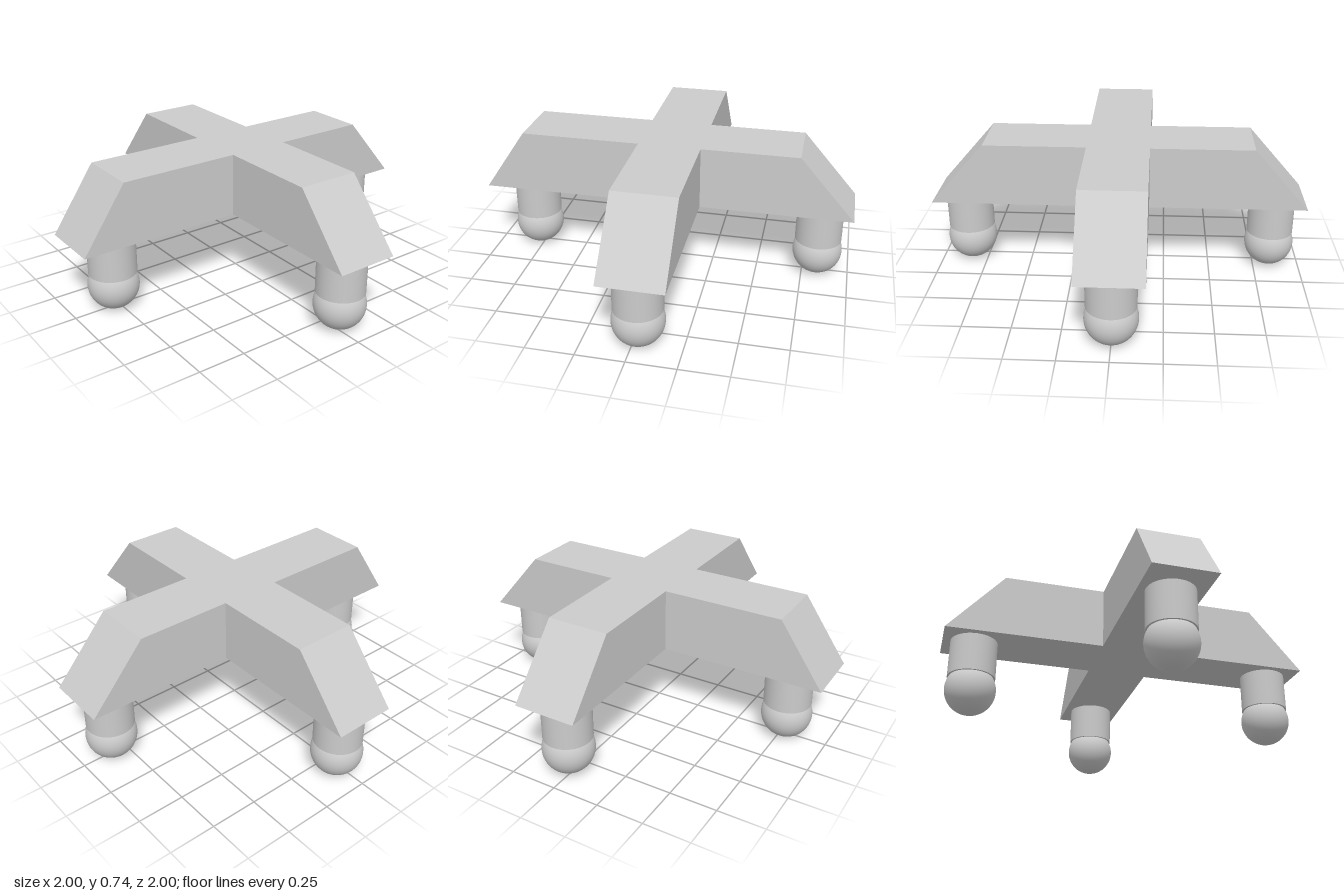
import * as THREE from 'three';

const BOTTOM = 0.405, TOP = 0.74, WIDTH = 0.33, BEAM_Z = -0.03;

export function createModel() {
  const model = new THREE.Group();
  model.name = 'crossTable';
  const flat = new THREE.MeshStandardMaterial({ color: 0xcccccc, flatShading: true });
  const smooth = new THREE.MeshStandardMaterial({ color: 0xcccccc });

  // Beam with a side profile running along x, centred on its width
  function beam(name, b0, b1, t0, t1) {
    const shape = new THREE.Shape([
      new THREE.Vector2(b0, BOTTOM), new THREE.Vector2(b1, BOTTOM),
      new THREE.Vector2(t1, TOP), new THREE.Vector2(t0, TOP),
    ]);
    const geometry = new THREE.ExtrudeGeometry(shape, { depth: WIDTH, bevelEnabled: false });
    geometry.translate(0, 0, -WIDTH / 2);
    const mesh = new THREE.Mesh(geometry, flat);
    mesh.name = name;
    model.add(mesh);
    return mesh;
  }

  // Cross body: one full beam, and two arms butting against it
  beam('crossBeam', -1, 1, -0.706, 0.706).position.z = BEAM_Z;
  const front = BEAM_Z + WIDTH / 2, back = BEAM_Z - WIDTH / 2;
  beam('frontArm', front, 1, front, 0.77).rotation.y = -Math.PI / 2;
  beam('backArm', -1, back, -0.706, back).rotation.y = -Math.PI / 2;

  // Legs with ball feet
  const post = new THREE.CylinderGeometry(0.125, 0.125, BOTTOM - 0.2, 48);
  const ball = new THREE.SphereGeometry(0.133, 48, 32);
  const legs = {
    leftLeg: [0.833, -0.025], rightLeg: [-0.833, -0.025],
    frontLeg: [0, 0.775], backLeg: [0, -0.825],
  };
  for (const [name, [x, z]] of Object.entries(legs)) {
    const leg = new THREE.Group();
    leg.name = name;
    leg.position.set(x, 0, z);
    const postMesh = new THREE.Mesh(post, smooth);
    postMesh.name = 'post';
    postMesh.position.y = (BOTTOM + 0.2) / 2;
    const foot = new THREE.Mesh(ball, smooth);
    foot.name = 'ballFoot';
    foot.position.y = 0.133;
    leg.add(postMesh, foot);
    model.add(leg);
  }
  return model;
}
